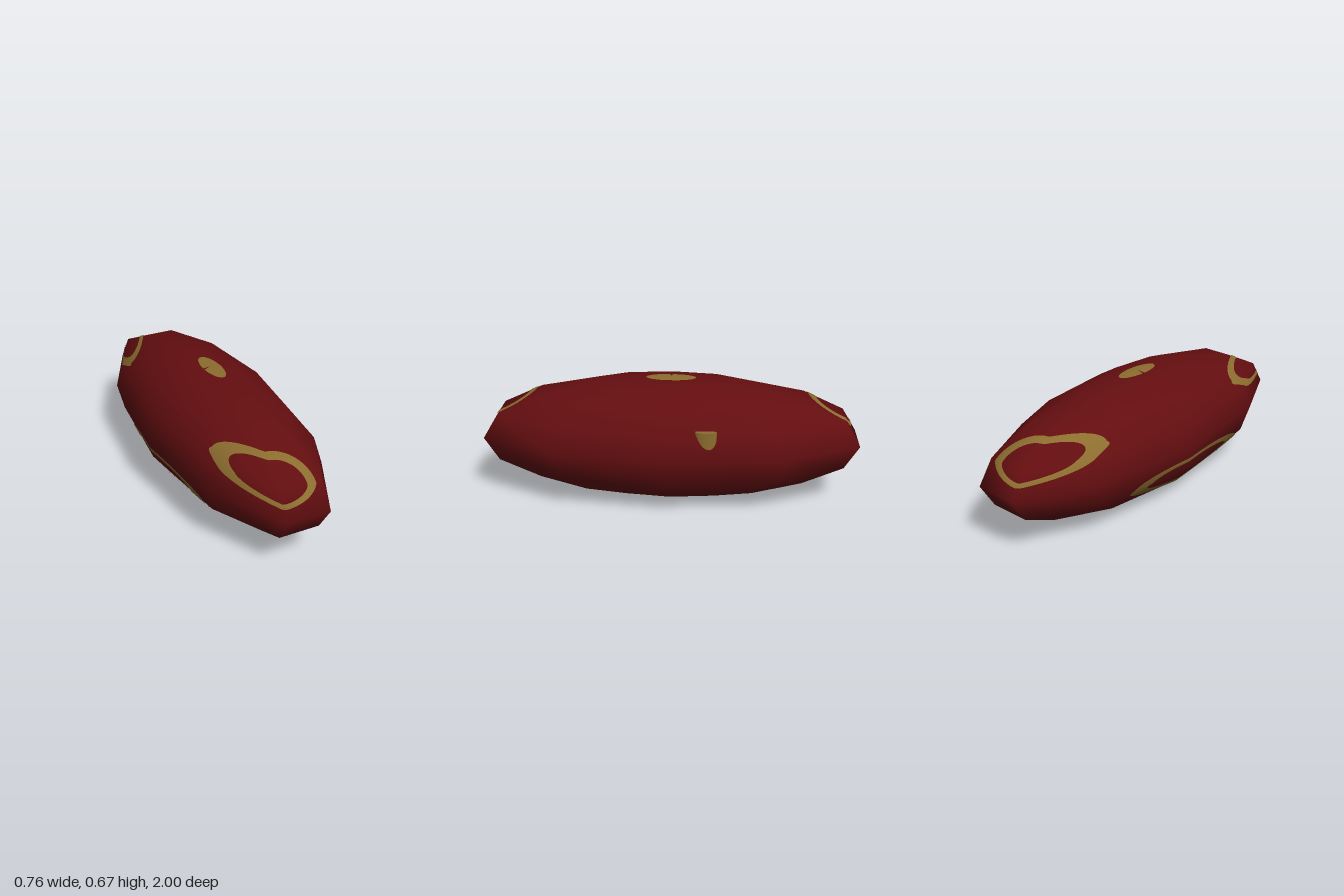
import * as THREE from 'three';

const RADII = new THREE.Vector3(0.38, 0.333, 1.0515);
const MID_Y = 0.3355;

export function createModel() {
  const model = new THREE.Group();
  const red = new THREE.MeshStandardMaterial({ color: 0x640e10 });
  red.name = 'dark red';
  const gold = new THREE.MeshStandardMaterial({ color: 0x8c6d2f });
  gold.name = 'old gold';

  function add(name, geometry, material) {
    const mesh = new THREE.Mesh(geometry, material);
    mesh.name = name;
    model.add(mesh);
    return mesh;
  }

  // Long faceted ellipsoid body
  const bodyGeometry = new THREE.SphereGeometry(1, 10, 8);
  bodyGeometry.scale(RADII.x, RADII.y, RADII.z).translate(0, MID_Y, 0);
  const body = add('body', bodyGeometry, red);
  body.updateMatrixWorld(true);

  // Painted ellipse or ring, projected onto the body against direction dir.
  // ru and rv are the radii along u and v; hole is the inner fraction.
  const ray = new THREE.Raycaster();
  function marking(name, dir, u, center, ru, rv, hole, lift) {
    const v = new THREE.Vector3().crossVectors(dir, u);
    const around = 96, across = 8;
    const positions = [], normals = [], index = [];
    for (let j = 0; j <= across; j++) {
      const k = Math.max(0.001, hole + (1 - hole) * j / across);
      for (let i = 0; i <= around; i++) {
        const a = (i / around) * Math.PI * 2;
        const start = center.clone()
          .addScaledVector(u, Math.cos(a) * ru * k)
          .addScaledVector(v, Math.sin(a) * rv * k)
          .addScaledVector(dir, 3);
        ray.set(start, dir.clone().negate());
        const hit = ray.intersectObject(body)[0];
        const p = hit ? hit.point.clone().addScaledVector(hit.face.normal, lift) : center.clone();
        const n = new THREE.Vector3(p.x, p.y - MID_Y, p.z).divide(RADII).divide(RADII).normalize();
        positions.push(p.x, p.y, p.z);
        normals.push(n.x, n.y, n.z);
        if (i < around && j < across) {
          const q = j * (around + 1) + i, r = q + around + 1;
          index.push(q, r, q + 1, r, r + 1, q + 1);
        }
      }
    }
    const geometry = new THREE.BufferGeometry();
    geometry.setAttribute('position', new THREE.Float32BufferAttribute(positions, 3));
    geometry.setAttribute('normal', new THREE.Float32BufferAttribute(normals, 3));
    geometry.setIndex(index);
    add(name, geometry, gold);
  }

  const X = new THREE.Vector3(1, 0, 0);
  const Z = new THREE.Vector3(0, 0, 1);

  // Matching rings at both ends, spots on the top and bottom
  for (const s of [1, -1]) {
    marking(s > 0 ? 'frontRing' : 'backRing', new THREE.Vector3(0, 0, s), X,
      new THREE.Vector3(-0.096, 0.4775, 0), 0.174, 0.085, 0.74, 0.004);
    marking(s > 0 ? 'topSpot' : 'bottomSpot', new THREE.Vector3(0, s, 0), X,
      new THREE.Vector3(0, 0, 0), 0.048, 0.132, 0, 0.002);
  }

  // Long ring low on the right side
  marking('sideRing', new THREE.Vector3(-1, 0, 0), Z,
    new THREE.Vector3(0, 0.188, 0.07), 0.45, 0.084, 0.74, 0.004);

  // Small upright peg breaking through the left side
  const peg = add('sidePeg', new THREE.CylinderGeometry(1, 1, 0.12, 24), gold);
  peg.geometry.scale(0.02, 1, 0.055);
  peg.position.set(0.322, 0.427, -0.195);

  return model;
}
